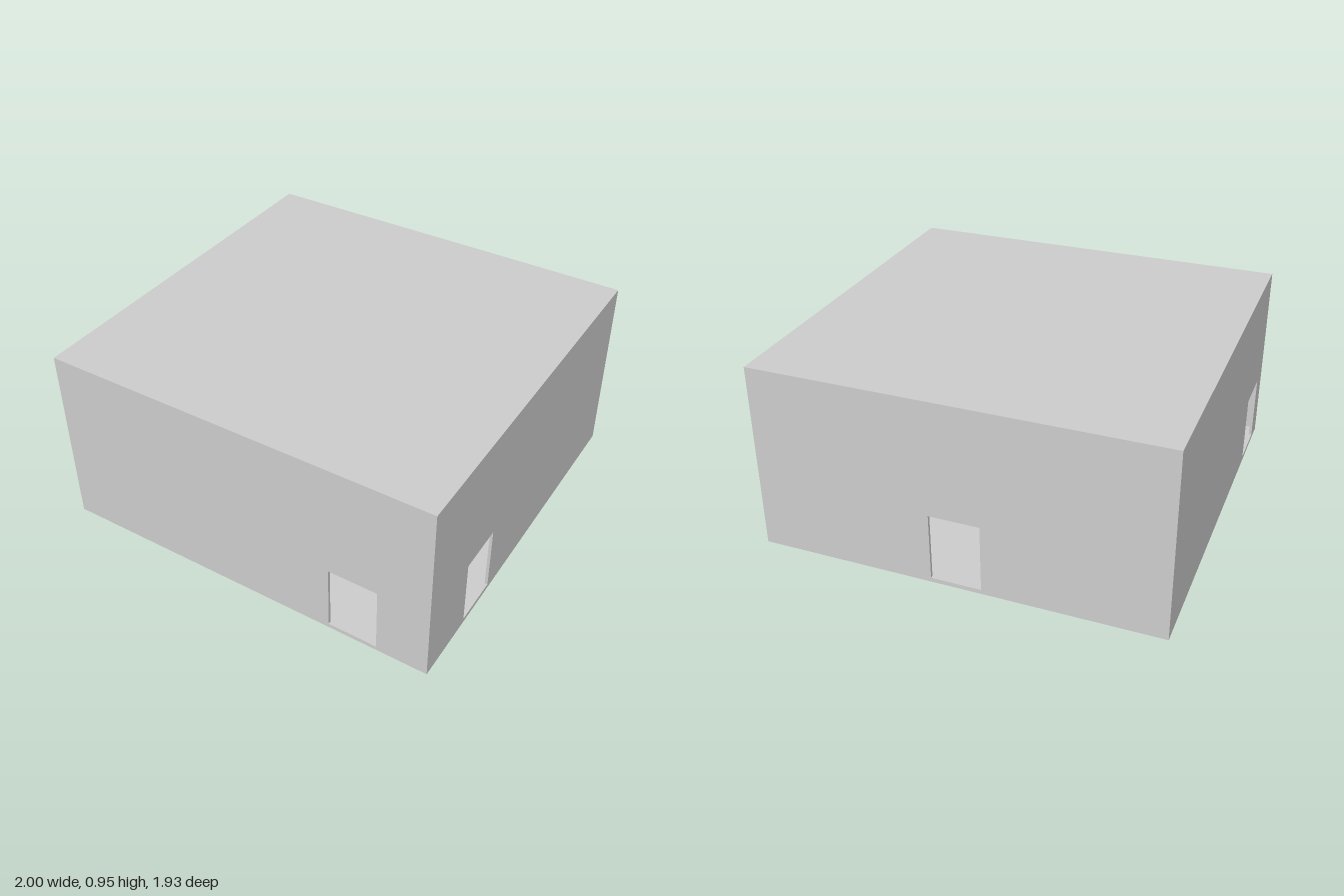
import * as THREE from 'three';

const W = 2, D = 1.93, H = 0.95, T = 0.015;
const DOOR_W = 0.25, SILL = 0.022, DOOR_TOP = 0.365;

export function createModel() {
  const group = new THREE.Group();
  const material = new THREE.MeshStandardMaterial({ color: 0xcccccc, flatShading: true });

  const add = (name, geometry) => {
    const mesh = new THREE.Mesh(geometry, material);
    mesh.name = name;
    group.add(mesh);
    return mesh;
  };

  // Wall panel with one doorway; the panel is centred across its length and thickness
  const wallPanel = (length, y0, y1, doorCentre) => {
    const h = length / 2, a = doorCentre - DOOR_W / 2, b = doorCentre + DOOR_W / 2;
    const shape = new THREE.Shape([
      new THREE.Vector2(-h, y0), new THREE.Vector2(h, y0),
      new THREE.Vector2(h, y1), new THREE.Vector2(-h, y1),
    ]);
    shape.holes.push(new THREE.Path([
      new THREE.Vector2(a, SILL), new THREE.Vector2(a, DOOR_TOP),
      new THREE.Vector2(b, DOOR_TOP), new THREE.Vector2(b, SILL),
    ]));
    return new THREE.ExtrudeGeometry(shape, { depth: T, bevelEnabled: false }).translate(0, 0, -T / 2);
  };

  // Floor and roof slabs
  add('floor', new THREE.BoxGeometry(W, T, D)).position.y = T / 2;
  add('roof', new THREE.BoxGeometry(W, T, D)).position.y = H - T / 2;

  // Front and back walls fit between the side walls
  const inner = W - 2 * T, z = (D - T) / 2, x = (W - T) / 2;
  add('frontWall', wallPanel(inner, T, H - T, 0.617)).position.z = z;
  add('backWall', wallPanel(inner, T, H - T, 0)).position.z = -z;

  // Side walls: turned so the panel's length runs along -z
  for (const [name, px, doorZ] of [['leftWall', x, 0.49], ['rightWall', -x, 0.725]]) {
    const wall = add(name, wallPanel(D, T, H - T, -doorZ));
    wall.rotation.y = Math.PI / 2;
    wall.position.x = px;
  }

  return group;
}
